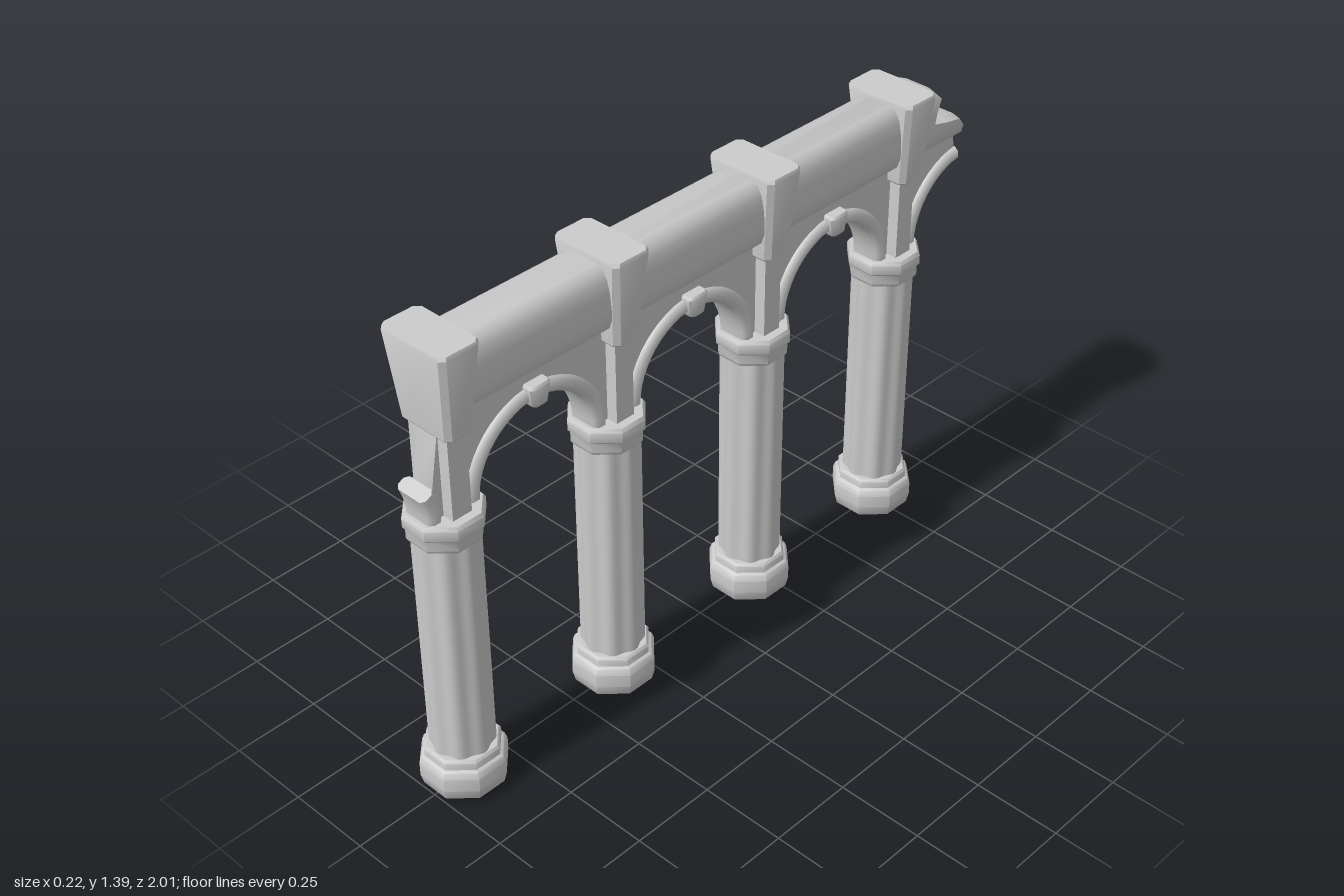
import * as THREE from 'three';
import { toCreasedNormals } from 'three/addons/utils/BufferGeometryUtils.js';

const material = new THREE.MeshStandardMaterial({ color: 0xcccccc });
const COLUMNS = [0.893, 0.346, -0.203, -0.75];
const PITCH = 0.548;
const SPRING = 0.893; // height where the arches start

function addMesh(parent, name, geometry, crease = 0.7) {
  const mesh = new THREE.Mesh(toCreasedNormals(geometry, crease), material);
  mesh.name = name;
  parent.add(mesh);
  return mesh;
}

// Skins a list of equal rings of [x, y, z] points and closes both ends
function loft(rings) {
  const n = rings[0].length;
  const pos = rings.flat(2);
  const index = [];
  for (let i = 0; i < rings.length - 1; i++) {
    for (let j = 0; j < n; j++) {
      const a = i * n + j, b = i * n + (j + 1) % n;
      index.push(a, b, b + n, a, b + n, a + n);
    }
  }
  const last = (rings.length - 1) * n;
  for (let j = 1; j < n - 1; j++) {
    index.push(0, j + 1, j, last, last + j, last + j + 1);
  }
  const g = new THREE.BufferGeometry();
  g.setAttribute('position', new THREE.Float32BufferAttribute(pos, 3));
  g.setIndex(index);
  return g;
}

// Rectangle with chamfered corners, as [x, z] pairs
function chamfered(w, d, c) {
  return [[w, d - c], [w, c - d], [w - c, -d], [c - w, -d], [-w, c - d], [-w, d - c], [c - w, d], [w - c, d]];
}

// Eight-sided turned stone with flats facing the axes
function octagonal(profile) {
  const g = new THREE.LatheGeometry(profile.map(([r, y]) => new THREE.Vector2(r, y)), 8);
  return g.rotateY(Math.PI / 8);
}

// Shaft with eight shallow flutes
function shaftGeometry() {
  const ring = (y) => Array.from({ length: 48 }, (_, i) => {
    const a = (i / 48) * Math.PI * 2;
    const r = 0.084 + 0.004 * Math.cos(a * 8);
    return [r * Math.cos(a), y, -r * Math.sin(a)];
  });
  return loft([ring(0.12), ring(0.83)]);
}

function makeColumn(z) {
  const column = new THREE.Group();
  column.name = 'column';
  column.position.z = z;
  addMesh(column, 'columnBase', octagonal([
    [0, 0], [0.095, 0], [0.113, 0.014], [0.121, 0.045], [0.121, 0.085], [0.114, 0.103], [0.098, 0.11], [0, 0.11],
  ]), 0.8);
  addMesh(column, 'baseCollar', octagonal([[0.105, 0.1], [0.105, 0.128], [0.098, 0.135], [0, 0.135]]), 0.8);
  addMesh(column, 'columnShaft', shaftGeometry());
  addMesh(column, 'capital', octagonal([
    [0, 0.812], [0.094, 0.812], [0.1, 0.822], [0.1, 0.85], [0.107, 0.857],
    [0.107, 0.885], [0.1, 0.895], [0, 0.895],
  ]), 0.8);
  // Upright strip between capital and clamp
  addMesh(column, 'pier', new THREE.BoxGeometry(0.138, 0.27, 0.06).translate(0, 1.025, 0));
  // Tapered block gripping the beam
  const clampLevels = [[0.083, 0.038, 1.132], [0.088, 0.042, 1.138], [0.112, 0.062, 1.38], [0.108, 0.058, 1.39]];
  addMesh(column, 'beamClamp', loft(clampLevels.map(([w, d, y]) =>
    chamfered(w, d, 0.014).map(([x, zz]) => [x, y, zz]))), 0.5);
  return column;
}

// Moulded arch ring swept between two angles
function archGeometry(center, from, to, steps) {
  const section = chamfered(0.05, 0.021, 0.011);
  const rings = [];
  for (let i = 0; i <= steps; i++) {
    const a = from + (to - from) * i / steps;
    rings.push(section.map(([x, dr]) => [
      x, SPRING + (0.212 + dr) * Math.sin(a), center + (0.212 + dr) * Math.cos(a),
    ]));
  }
  return loft(rings);
}

// Thin spandrel wall, drawn in z and y, with the arches cut away
function wallGeometry() {
  const r = 0.212;
  const s = new THREE.Shape();
  s.moveTo(0.935, SPRING);
  s.lineTo(0.952, 0.98);
  s.lineTo(0.925, 1.13);
  s.lineTo(0.925, 1.2);
  s.lineTo(-0.985, 1.2);
  s.lineTo(-0.998, 1.13);
  s.lineTo(-0.998, SPRING + 0.21);
  const end = COLUMNS[3] - PITCH / 2;
  s.absarc(end, SPRING, r, Math.acos((-0.998 - end) / r), 0, true);
  for (let i = 2; i >= 0; i--) {
    s.absarc((COLUMNS[i] + COLUMNS[i + 1]) / 2, SPRING, r, Math.PI, 0, true);
  }
  s.closePath();
  const g = new THREE.ExtrudeGeometry(s, { depth: 0.07, bevelEnabled: false, curveSegments: 20 });
  return g.translate(0, 0, -0.035).rotateY(-Math.PI / 2);
}

export function createModel() {
  const model = new THREE.Group();
  model.name = 'colonnade';
  COLUMNS.forEach((z) => model.add(makeColumn(z)));

  addMesh(model, 'spandrelWall', wallGeometry());

  // Whole arches with keystones
  for (let i = 0; i < 3; i++) {
    const c = (COLUMNS[i] + COLUMNS[i + 1]) / 2;
    addMesh(model, 'arch', archGeometry(c, 0, Math.PI, 24), 0.9);
    const levels = [[0.06, 0.02, 1.073], [0.065, 0.025, 1.08], [0.068, 0.034, 1.13], [0.063, 0.03, 1.138]];
    addMesh(model, 'keystone', loft(levels.map(([w, d, y]) =>
      chamfered(w, d, 0.008).map(([x, z]) => [x, y, c + z]))));
  }

  // Broken arch stubs at both ends
  addMesh(model, 'brokenArchFront', archGeometry(COLUMNS[0] + PITCH / 2, Math.PI - 0.44, Math.PI, 5), 0.9);
  addMesh(model, 'brokenArchBack', archGeometry(COLUMNS[3] - PITCH / 2, 0, 1.47, 12), 0.9);

  // Rounded beam with a ragged back end: height, half width, end z
  const beam = [
    [1.175, 0.05, -0.99], [1.19, 0.068, -0.997], [1.22, 0.08, -0.988], [1.248, 0.083, -0.965],
    [1.258, 0.083, -0.91], [1.272, 0.083, -0.855], [1.3, 0.082, -0.862], [1.338, 0.077, -0.885],
    [1.362, 0.065, -0.862], [1.375, 0.045, -0.842],
  ];
  addMesh(model, 'beam', loft(beam.map(([y, w, e]) => [
    [w, y, 0.9], [w, y, e + 0.012], [w * 0.6, y, e], [-w * 0.6, y, e], [-w, y, e + 0.012], [-w, y, 0.9],
  ])), 0.75);

  return model;
}
